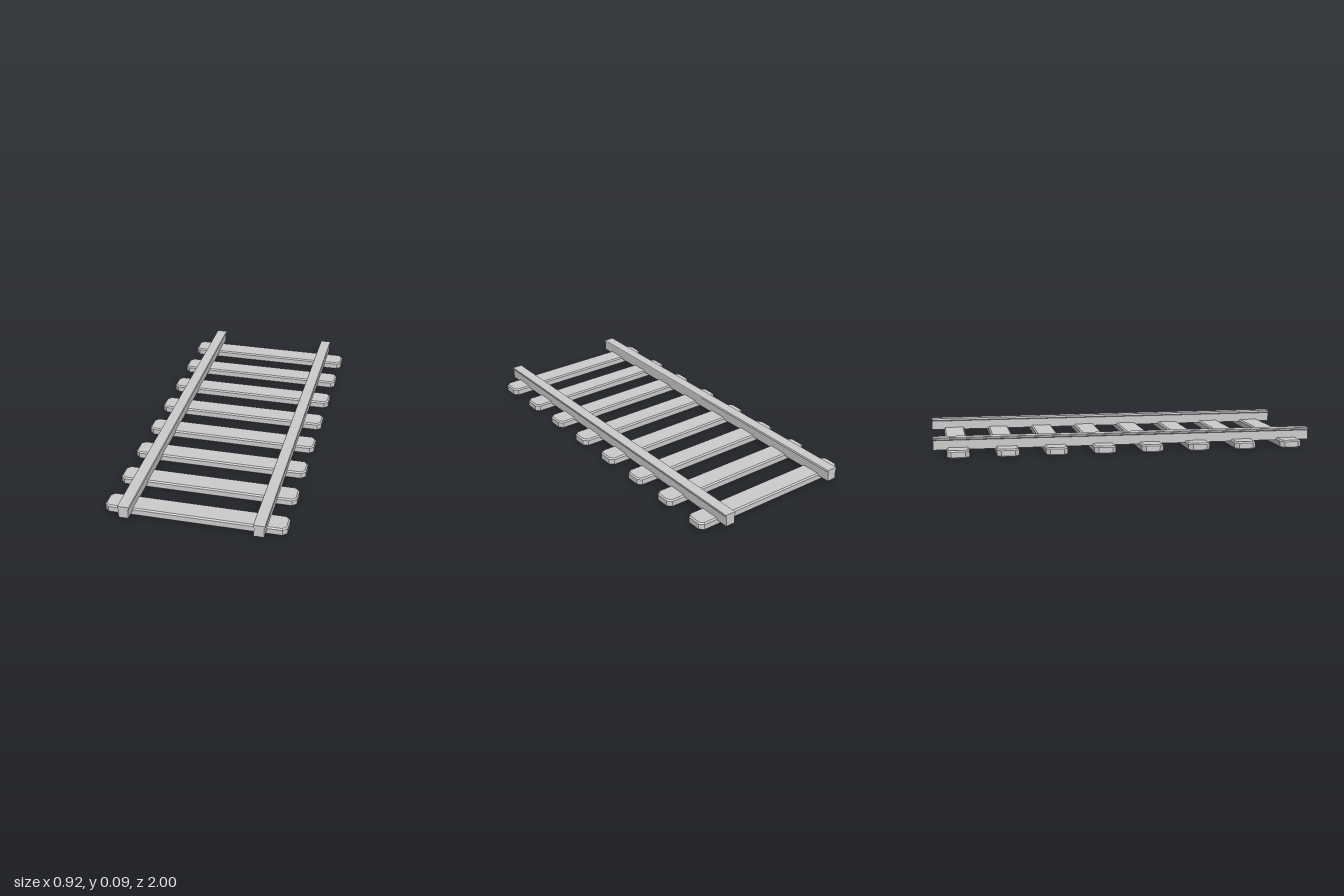
import * as THREE from 'three';

// Extrude a closed outline of [x, y] points
function extrude(points, options) {
  const shape = new THREE.Shape(points.map(([x, y]) => new THREE.Vector2(x, y)));
  return new THREE.ExtrudeGeometry(shape, options);
}

export function createModel() {
  const group = new THREE.Group();
  const grey = new THREE.MeshStandardMaterial({ name: 'plain grey', color: 0xcccccc, flatShading: true });

  // Sleeper: a plank with cut corners and bevelled top and bottom edges
  const bevel = 0.007, height = 0.042;
  const hx = 0.458 - bevel, hz = 0.057 - bevel, cut = 0.017;
  const sleeperGeometry = extrude([
    [hx - cut, -hz], [hx, -hz + cut], [hx, hz - cut], [hx - cut, hz],
    [-hx + cut, hz], [-hx, hz - cut], [-hx, -hz + cut], [-hx + cut, -hz],
  ], { depth: height - 2 * bevel, bevelEnabled: true, bevelSize: bevel, bevelThickness: bevel, bevelSegments: 1 });
  sleeperGeometry.rotateX(-Math.PI / 2).translate(0, bevel, 0);

  for (let i = 0; i < 8; i++) {
    const sleeper = new THREE.Mesh(sleeperGeometry, grey);
    sleeper.name = `sleeper${i + 1}`;
    sleeper.position.z = -0.875 + i * 0.25;
    group.add(sleeper);
  }

  // Rail: straight web widening to a flat head
  const half = [[0.025, 0.031], [0.025, 0.08], [0.03, 0.084], [0.03, 0.091], [0.028, 0.094]];
  const mirrored = half.map(([x, y]) => [-x, y]).reverse();
  const railGeometry = extrude([...half, ...mirrored], { depth: 2, bevelEnabled: false });
  railGeometry.translate(0, 0, -1);

  for (const side of [-1, 1]) {
    const rail = new THREE.Mesh(railGeometry, grey);
    rail.name = side > 0 ? 'leftRail' : 'rightRail';
    rail.position.x = side * 0.336;
    group.add(rail);
  }
  return group;
}
